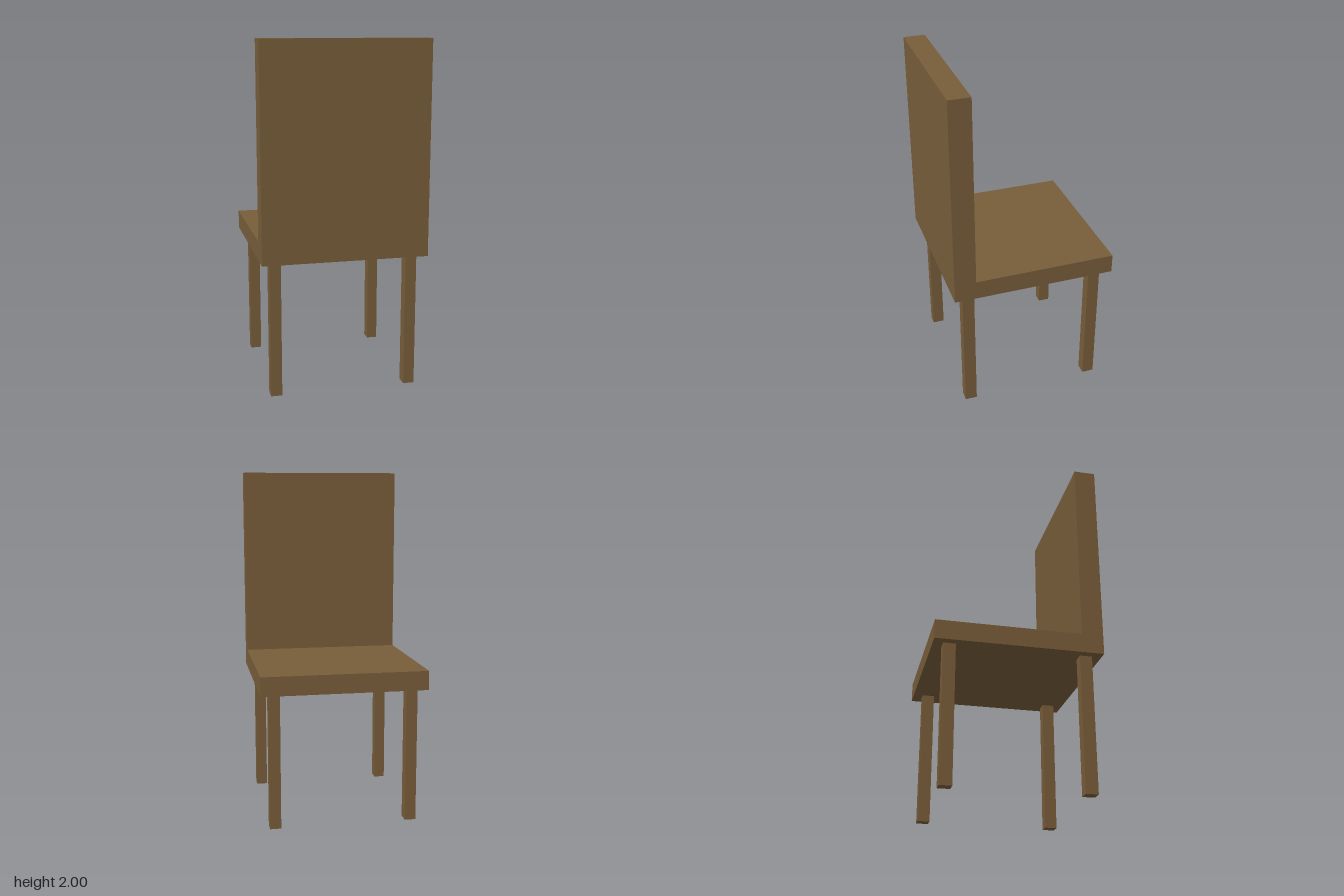
import * as THREE from 'three';

const WIDTH = 0.95;       // chair width and depth
const HALF = WIDTH / 2;
const SEAT_BOTTOM = 0.785;
const SEAT_TOP = 0.895;
const BACK_Z = 0.35;      // inner face of the backrest
const TOP = 2;

export function createModel() {
  const wood = new THREE.MeshStandardMaterial({ color: 0x785d3a });
  wood.name = 'brown wood';

  const chair = new THREE.Group();
  chair.name = 'chair';

  // Seat and backrest: one L-shaped side profile (z, y) extruded across the width
  const profile = new THREE.Shape([
    [-HALF, SEAT_BOTTOM], [HALF, SEAT_BOTTOM], [HALF, TOP],
    [BACK_Z, TOP], [BACK_Z, SEAT_TOP], [-HALF, SEAT_TOP],
  ].map(([z, y]) => new THREE.Vector2(z, y)));
  const bodyGeometry = new THREE.ExtrudeGeometry(profile, { depth: WIDTH, bevelEnabled: false });
  bodyGeometry.translate(0, 0, -HALF).rotateY(-Math.PI / 2);
  const body = new THREE.Mesh(bodyGeometry, wood);
  body.name = 'seatAndBackrest';
  chair.add(body);

  // Four square legs, set in from the seat corners
  const legGeometry = new THREE.BoxGeometry(0.064, SEAT_BOTTOM, 0.07);
  for (const [side, x] of [['left', 0.394], ['right', -0.394]]) {
    for (const [end, z] of [['BackrestLeg', 0.385], ['SeatEdgeLeg', -0.385]]) {
      const leg = new THREE.Mesh(legGeometry, wood);
      leg.name = side + end;
      leg.position.set(x, SEAT_BOTTOM / 2, z);
      chair.add(leg);
    }
  }
  return chair;
}
